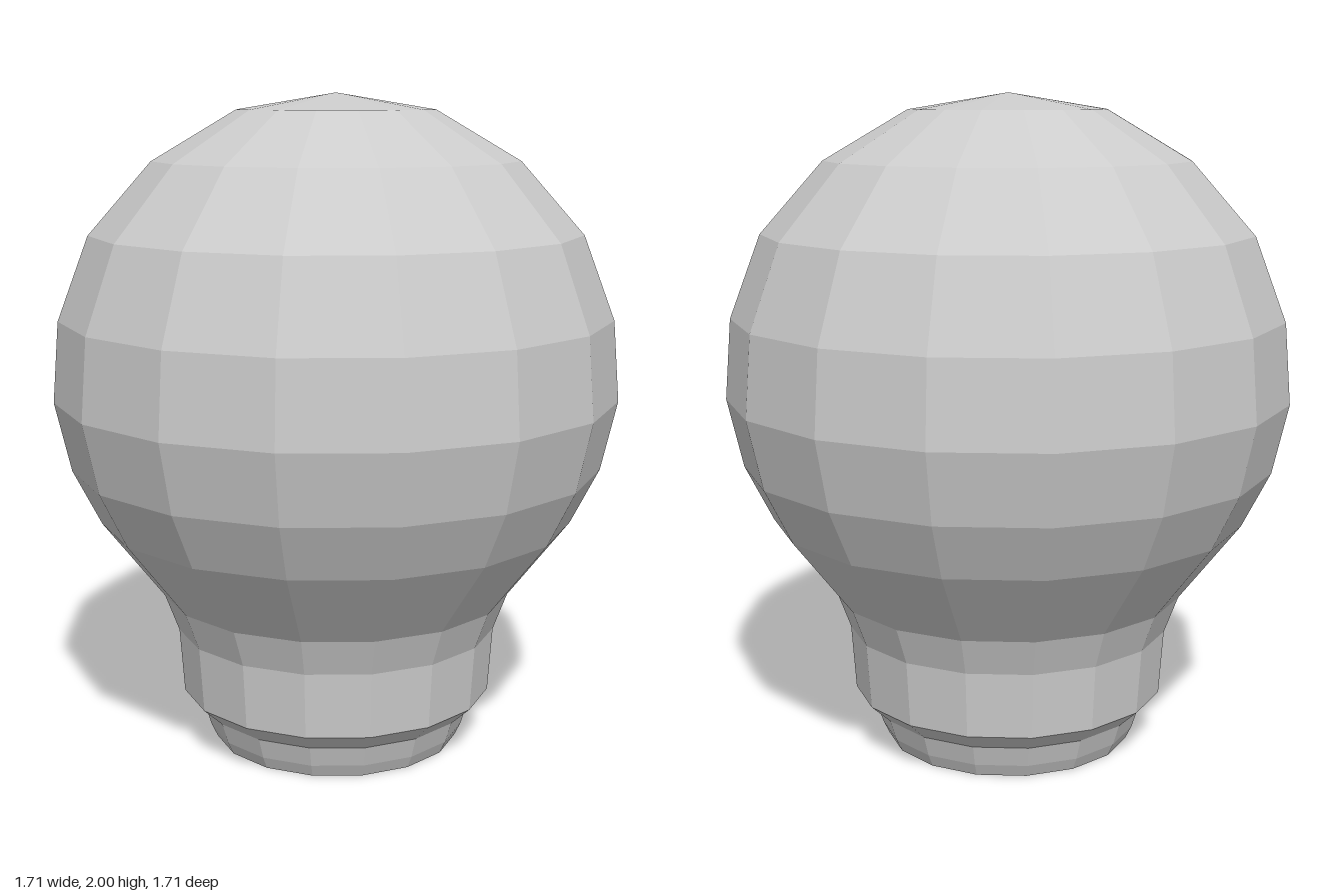
import * as THREE from 'three';

const SIDES = 16;
const material = new THREE.MeshStandardMaterial({
  color: 0xcccccc, flatShading: true, side: THREE.DoubleSide,
});

// Faceted shell turned around the y axis from [radius, height] pairs, bottom to top
function turned(name, profile) {
  const points = profile.map(([r, y]) => new THREE.Vector2(r, y));
  const mesh = new THREE.Mesh(new THREE.LatheGeometry(points, SIDES), material);
  mesh.name = name;
  return mesh;
}

export function createModel() {
  const group = new THREE.Group();
  group.name = 'bulb';

  // Open rim stepping out to the neck
  group.add(turned('baseRim', [
    [0.383, 0], [0.402, 0.04], [0.422, 0.105], [0.484, 0.163],
  ]));

  // Slightly flared neck
  group.add(turned('neck', [
    [0.484, 0.163], [0.498, 0.363], [0.54, 0.477],
  ]));

  // Round globe closing at the top
  group.add(turned('globe', [
    [0.54, 0.477], [0.725, 0.717], [0.81, 0.887], [0.857, 1.097], [0.837, 1.34],
    [0.742, 1.59], [0.553, 1.803], [0.3, 1.951], [0, 2],
  ]));

  return group;
}
